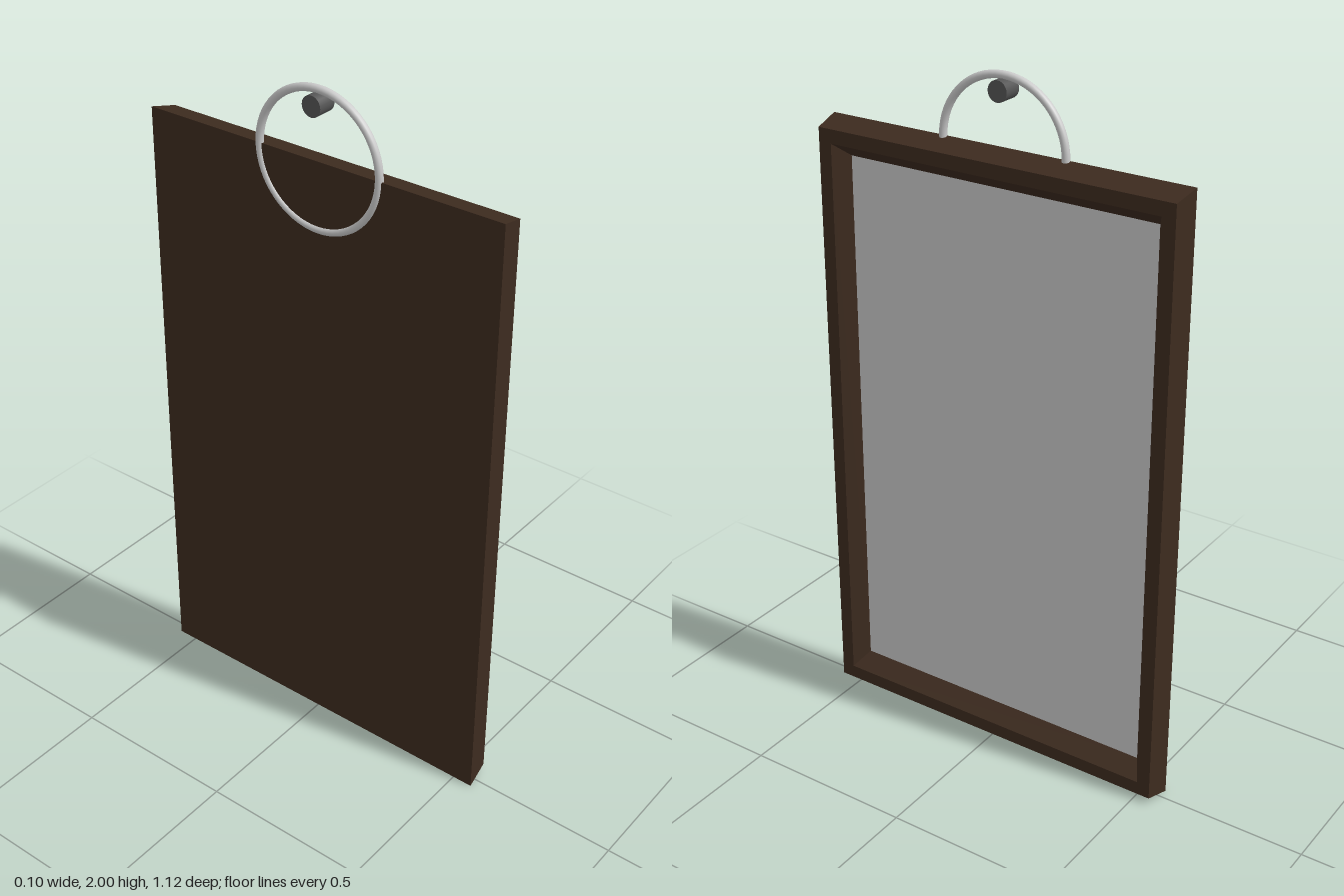
import * as THREE from 'three';

const wood = new THREE.MeshStandardMaterial({ color: 0x3d2b1f, flatShading: true });
const grey = new THREE.MeshStandardMaterial({ color: 0xcccccc });
const dark = new THREE.MeshStandardMaterial({ color: 0x555555 });

// Rectangle facing +x, corners counter-clockwise as seen from +x
function rect(x, halfZ, y0, y1) {
  return [[x, y0, halfZ], [x, y0, -halfZ], [x, y1, -halfZ], [x, y1, halfZ]];
}

// Closed back, tapered outer sides, flat rim and sloping inner reveal
function frameGeometry() {
  const loops = [
    rect(-0.03, 0.56, 0, 1.8),
    rect(0.05, 0.55, 0.02, 1.78),
    rect(0.05, 0.51, 0.06, 1.74),
    rect(0, 0.48, 0.1, 1.7),
  ];
  const pos = [];
  const quad = (a, b, c, d) => pos.push(...a, ...b, ...c, ...a, ...c, ...d);
  for (let k = 0; k < loops.length - 1; k++) {
    for (let i = 0; i < 4; i++) {
      const j = (i + 1) % 4;
      quad(loops[k][i], loops[k][j], loops[k + 1][j], loops[k + 1][i]);
    }
  }
  quad(...[...loops[0]].reverse());
  const geo = new THREE.BufferGeometry();
  geo.setAttribute('position', new THREE.Float32BufferAttribute(pos, 3));
  geo.computeVertexNormals();
  return geo;
}

export function createModel() {
  const group = new THREE.Group();
  const add = (name, geo, mat, x, y) => {
    const mesh = new THREE.Mesh(geo, mat);
    mesh.name = name;
    mesh.position.set(x, y, 0);
    group.add(mesh);
  };

  add('frame', frameGeometry(), wood, 0, 0);

  // Recessed pane
  add('pane', new THREE.PlaneGeometry(0.96, 1.6).rotateY(Math.PI / 2), grey, 0, 0.9);

  // Ring that hangs the frame from the peg
  add('hangingRing', new THREE.TorusGeometry(0.19, 0.011, 12, 64).rotateY(Math.PI / 2), grey, -0.025, 1.8);
  add('wallPeg', new THREE.CylinderGeometry(0.029, 0.029, 0.056, 24).rotateZ(Math.PI / 2), dark, -0.025, 1.953);

  return group;
}
